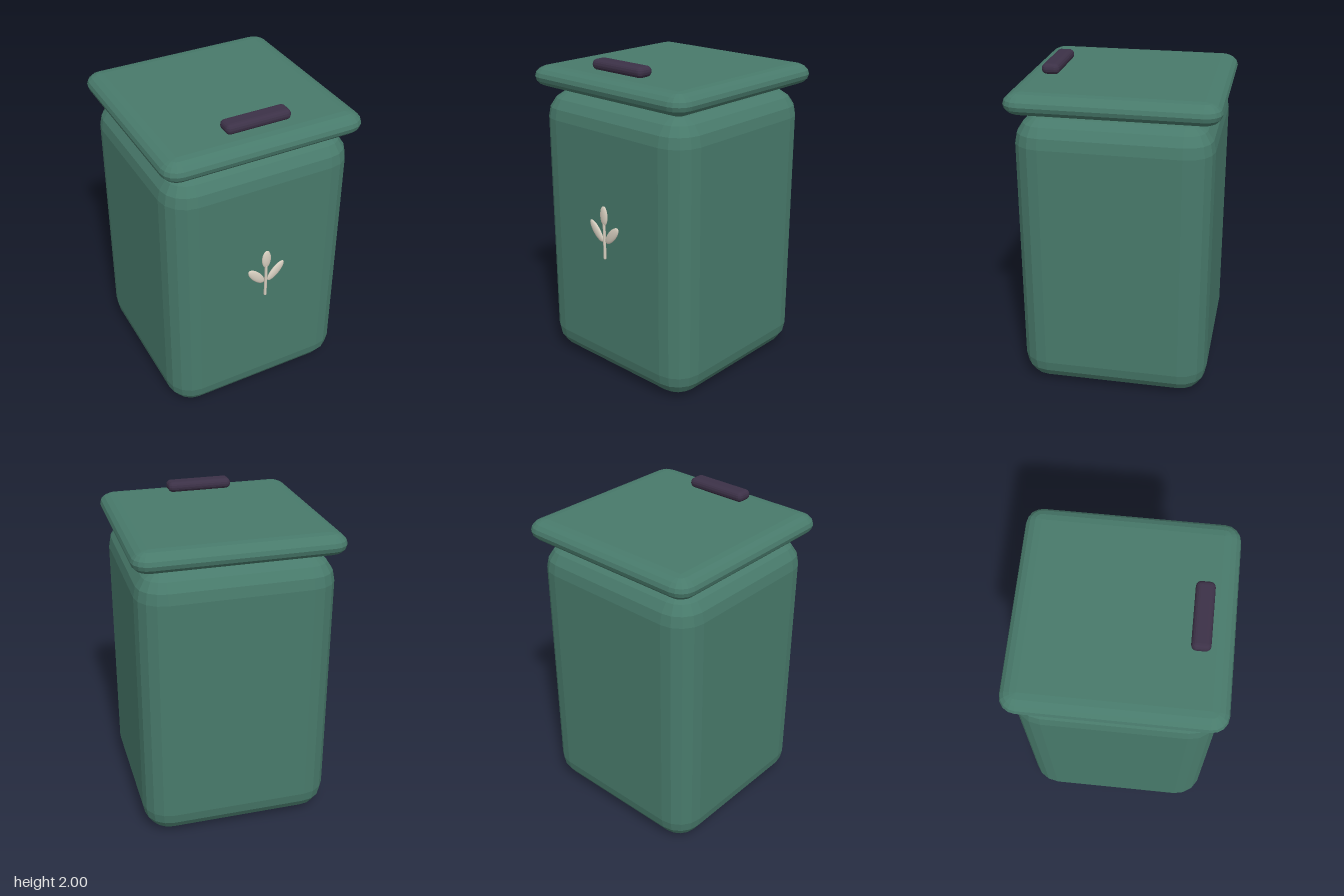
import * as THREE from 'three';

const green = new THREE.MeshStandardMaterial({ color: 0x487a6b, flatShading: true });
green.name = 'sage green';
const plum = new THREE.MeshStandardMaterial({ color: 0x3c3147, flatShading: true });
plum.name = 'dark plum';
const cream = new THREE.MeshStandardMaterial({ color: 0xd8cfc0 });
cream.name = 'warm cream';

// Box with faceted round edges: r is the radius in plan, ry the radius in height
function roundedBox(w, h, d, r, ry, steps = 4) {
  const rings = [];
  const addRing = (y, inset, radius) => {
    const ring = [];
    for (let corner = 0; corner < 4; corner++) {
      const sx = corner === 0 || corner === 3 ? 1 : -1;
      const sz = corner < 2 ? 1 : -1;
      for (let k = 0; k <= steps; k++) {
        const a = (corner + k / steps) * Math.PI / 2;
        ring.push([sx * (w / 2 - r) * inset + radius * Math.cos(a), y,
          sz * (d / 2 - r) * inset + radius * Math.sin(a)]);
      }
    }
    rings.push(ring);
  };
  addRing(-h / 2, 0, 0); // closed bottom
  for (const side of [-1, 1]) {
    for (let k = 0; k <= steps; k++) {
      const t = (side < 0 ? k - steps : k) / steps * Math.PI / 2;
      addRing(side * (h / 2 - ry) + ry * Math.sin(t), 1, r * Math.cos(t));
    }
  }
  addRing(h / 2, 0, 0); // closed top

  const pos = [];
  for (let i = 0; i < rings.length - 1; i++) {
    const n = rings[i].length;
    for (let j = 0; j < n; j++) {
      const m = (j + 1) % n;
      const a = rings[i][j], b = rings[i][m], c = rings[i + 1][m], e = rings[i + 1][j];
      pos.push(...a, ...e, ...c, ...a, ...c, ...b);
    }
  }
  const geo = new THREE.BufferGeometry();
  geo.setAttribute('position', new THREE.Float32BufferAttribute(pos, 3));
  geo.computeVertexNormals();
  return geo;
}

function part(parent, name, geometry, material, x, y, z) {
  const mesh = new THREE.Mesh(geometry, material);
  mesh.name = name;
  mesh.position.set(x, y, z);
  parent.add(mesh);
  return mesh;
}

export function createModel() {
  const model = new THREE.Group();
  model.name = 'lidded bin';

  part(model, 'body', roundedBox(1.198, 1.776, 1.176, 0.17, 0.17), green, 0, 0.888, 0.002);
  part(model, 'lid', roundedBox(1.25, 0.132, 1.25, 0.1, 0.066), green, 0, 1.86, 0);
  part(model, 'handle', roundedBox(0.408, 0.064, 0.11, 0.03, 0.03), plum, 0, 1.968, 0.436);

  // Sprig emblem on the front: a stem with three flattened leaves
  const sprig = new THREE.Group();
  sprig.name = 'sprig';
  sprig.position.z = 0.609;
  model.add(sprig);
  part(sprig, 'stem', new THREE.CapsuleGeometry(0.009, 0.222, 4, 10), cream, 0, 0.935, 0);
  const leaf = (name, x, y, halfLength, tilt) => {
    const mesh = part(sprig, name, new THREE.SphereGeometry(1, 20, 14), cream, x, y, 0);
    mesh.scale.set(0.03, halfLength, 0.012);
    mesh.rotation.z = tilt;
  };
  leaf('topLeaf', 0, 1.098, 0.063, 0);
  leaf('leftLeaf', 0.066, 0.987, 0.078, -0.72);
  leaf('rightLeaf', -0.066, 0.987, 0.078, 0.72);

  return model;
}
